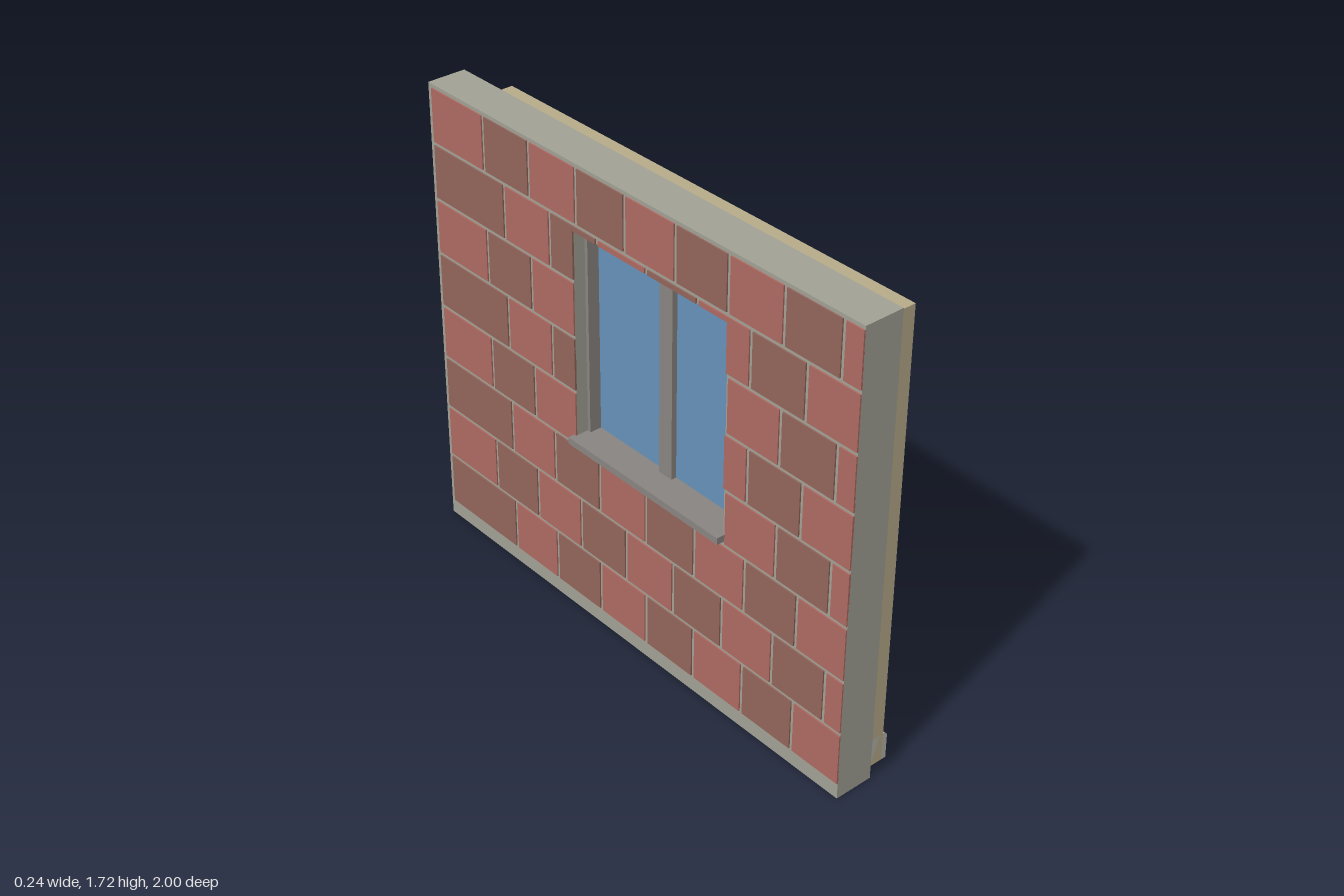
import * as THREE from 'three';

const mat = (color) => new THREE.MeshStandardMaterial({ color });
const WINDOW = { z0: -0.26, z1: 0.455, y0: 0.70, y1: 1.48 };

export function createModel() {
  const model = new THREE.Group();
  model.name = 'wallSection';
  const concrete = mat(0xa3a296), plaster = mat(0xb8ad8a), trim = mat(0x8a8583);
  const skirting = mat(0xb5b5ad), glass = mat(0x6692ba);
  const bricks = [mat(0xaf6a62), mat(0x93665c)];

  const add = (parent, name, geometry, material) => {
    const mesh = new THREE.Mesh(geometry, material);
    mesh.name = name;
    parent.add(mesh);
    return mesh;
  };
  // Box given by its limits on each axis
  const box = (parent, name, material, x0, x1, y0, y1, z0, z1) =>
    add(parent, name, new THREE.BoxGeometry(x1 - x0, y1 - y0, z1 - z0), material)
      .position.set((x0 + x1) / 2, (y0 + y1) / 2, (z0 + z1) / 2);
  // Closed rectangle in the wall plane, with the shape's x running along -z
  const rect = (Type, z0, z1, y0, y1) =>
    new Type([[-z1, y0], [-z0, y0], [-z0, y1], [-z1, y1]].map((p) => new THREE.Vector2(...p)));
  // Slab from x0 to x1 with a rectangular opening
  const slab = (name, material, x0, x1, outer, inner) => {
    const shape = rect(THREE.Shape, ...outer);
    shape.holes.push(rect(THREE.Path, ...inner));
    const geometry = new THREE.ExtrudeGeometry(shape, { depth: x1 - x0, bevelEnabled: false });
    geometry.rotateY(Math.PI / 2).translate(x0, 0, 0);
    add(model, name, geometry, material);
  };

  // Structural core and the inner lining, both pierced by the window
  const opening = [WINDOW.z0, WINDOW.z1, WINDOW.y0, WINDOW.y1];
  slab('wallCore', concrete, -0.09, 0.055, [-1, 1, 0, 1.718], opening);
  slab('innerLining', plaster, 0.055, 0.102, [-0.805, 1, 0.05, 1.715], opening);

  // Skirting board with a chamfered top edge
  const profile = new THREE.Shape([[0.055, 0.05], [0.12, 0.05], [0.12, 0.145], [0.109, 0.157], [0.055, 0.157]]
    .map((p) => new THREE.Vector2(...p)));
  const board = new THREE.ExtrudeGeometry(profile, { depth: 1.805, bevelEnabled: false });
  board.translate(0, 0, -0.805);
  add(model, 'skirtingBoard', board, skirting);

  // Window frame, mullion, panes and outer sill
  slab('windowFrame', trim, -0.045, 0.06, opening, [-0.247, 0.442, 0.713, 1.465]);
  box(model, 'mullion', trim, -0.02, 0.035, 0.713, 1.465, 0.07, 0.13);
  box(model, 'rightPane', glass, 0, 0.015, 0.713, 1.465, -0.247, 0.07);
  box(model, 'leftPane', glass, 0, 0.015, 0.713, 1.465, 0.13, 0.442);
  box(model, 'outerSill', trim, -0.12, -0.09, 0.69, 0.715, -0.27, 0.46);
  box(model, 'sillBed', trim, -0.09, -0.045, 0.70, 0.715, WINDOW.z0, WINDOW.z1);

  // Brick facing in staggered courses, trimmed around the window
  const facing = new THREE.Group();
  facing.name = 'brickFacing';
  model.add(facing);
  const courseHeight = 0.207, brickLength = 0.233, joint = 0.014;
  const layBrick = (material, y0, y1, z0, z1) => {
    if (z1 - z0 > 0.005 && y1 - y0 > 0.005) box(facing, 'brick', material, -0.095, -0.088, y0, y1, z0, z1);
  };
  for (let row = 0; row < 8; row++) {
    const y0 = 0.063 + row * courseHeight, y1 = y0 + courseHeight - joint;
    let z0 = -0.98, next = row % 2 ? -0.7 : -0.6;
    for (let i = 0; z0 < 1; i++) {
      const z1 = Math.min(next - joint, 1);
      const material = bricks[row % 2 ? i % 2 : (i + 1) % 2];
      const lo = Math.max(y0, WINDOW.y0), hi = Math.min(y1, WINDOW.y1);
      if (hi <= lo || z1 <= WINDOW.z0 || z0 >= WINDOW.z1) {
        layBrick(material, y0, y1, z0, z1);
      } else {
        // Keep the strips below, above and beside the opening
        layBrick(material, y0, lo, z0, z1);
        layBrick(material, hi, y1, z0, z1);
        layBrick(material, lo, hi, z0, Math.min(z1, WINDOW.z0));
        layBrick(material, lo, hi, Math.max(z0, WINDOW.z1), z1);
      }
      z0 = next;
      next += brickLength;
    }
  }
  return model;
}
